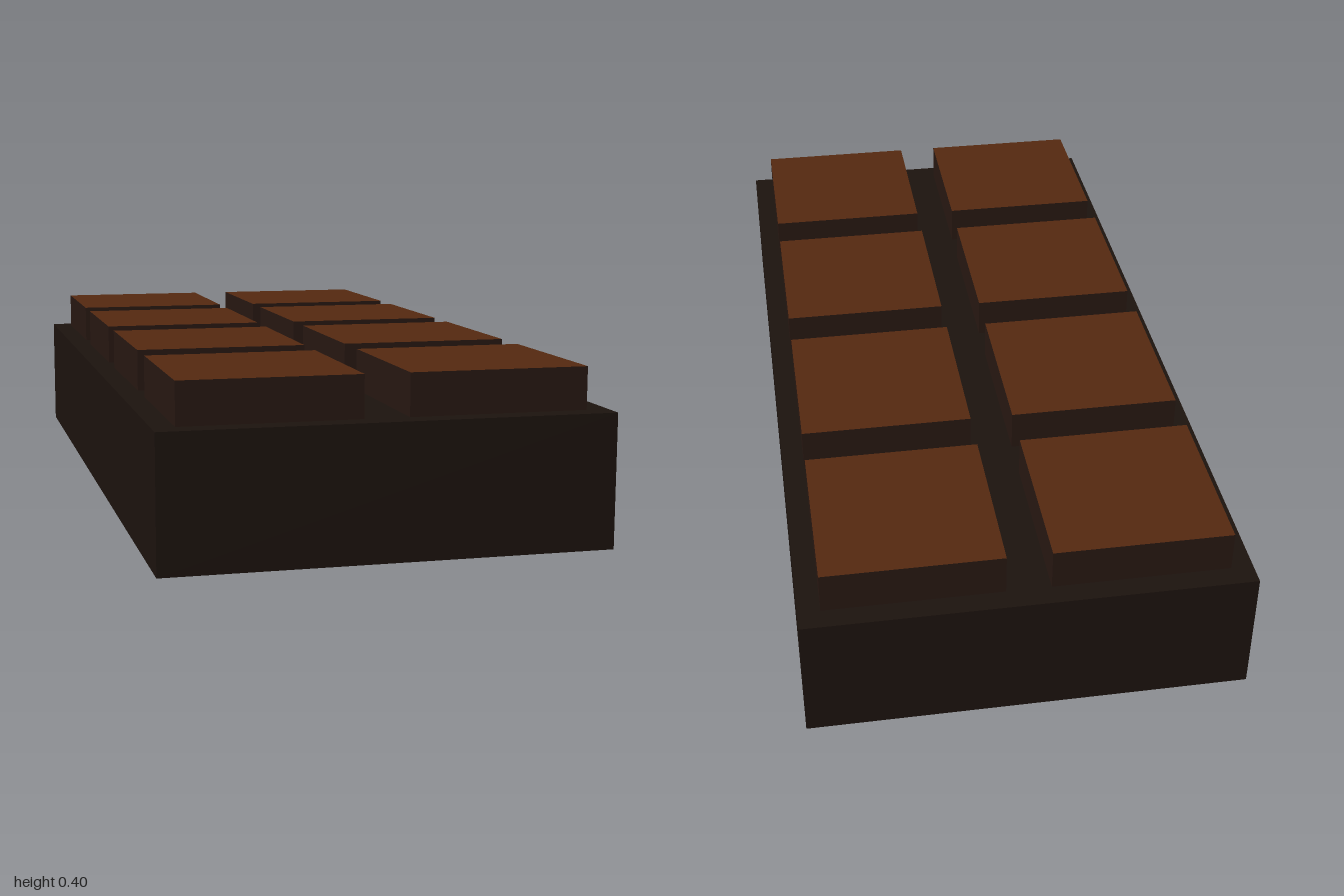
import * as THREE from 'three';

const BASE_H = 0.3, BLOCK = 0.4, BLOCK_H = 0.095, PITCH = 0.5;

export function createModel() {
  const model = new THREE.Group();
  model.name = 'chocolateBar';

  const baseMat = new THREE.MeshStandardMaterial({ color: 0x1c130e });
  const sideMat = new THREE.MeshStandardMaterial({ color: 0x281812 });
  const topMat = new THREE.MeshStandardMaterial({ color: 0x552910 });

  // Solid slab under the blocks
  const base = new THREE.Mesh(new THREE.BoxGeometry(1, BASE_H, 2), baseMat);
  base.name = 'base';
  base.position.y = BASE_H / 2;
  model.add(base);

  // Raised blocks, 2 across by 4 along, with dark sides and a lighter top face
  const blockGeo = new THREE.BoxGeometry(BLOCK, BLOCK_H, BLOCK);
  const blockMats = [sideMat, sideMat, topMat, sideMat, sideMat, sideMat];
  for (let row = 0; row < 4; row++) {
    for (let col = 0; col < 2; col++) {
      const block = new THREE.Mesh(blockGeo, blockMats);
      block.name = `block${row * 2 + col + 1}`;
      block.position.set((col - 0.5) * PITCH, BASE_H + BLOCK_H / 2, (row - 1.5) * PITCH);
      model.add(block);
    }
  }
  return model;
}
